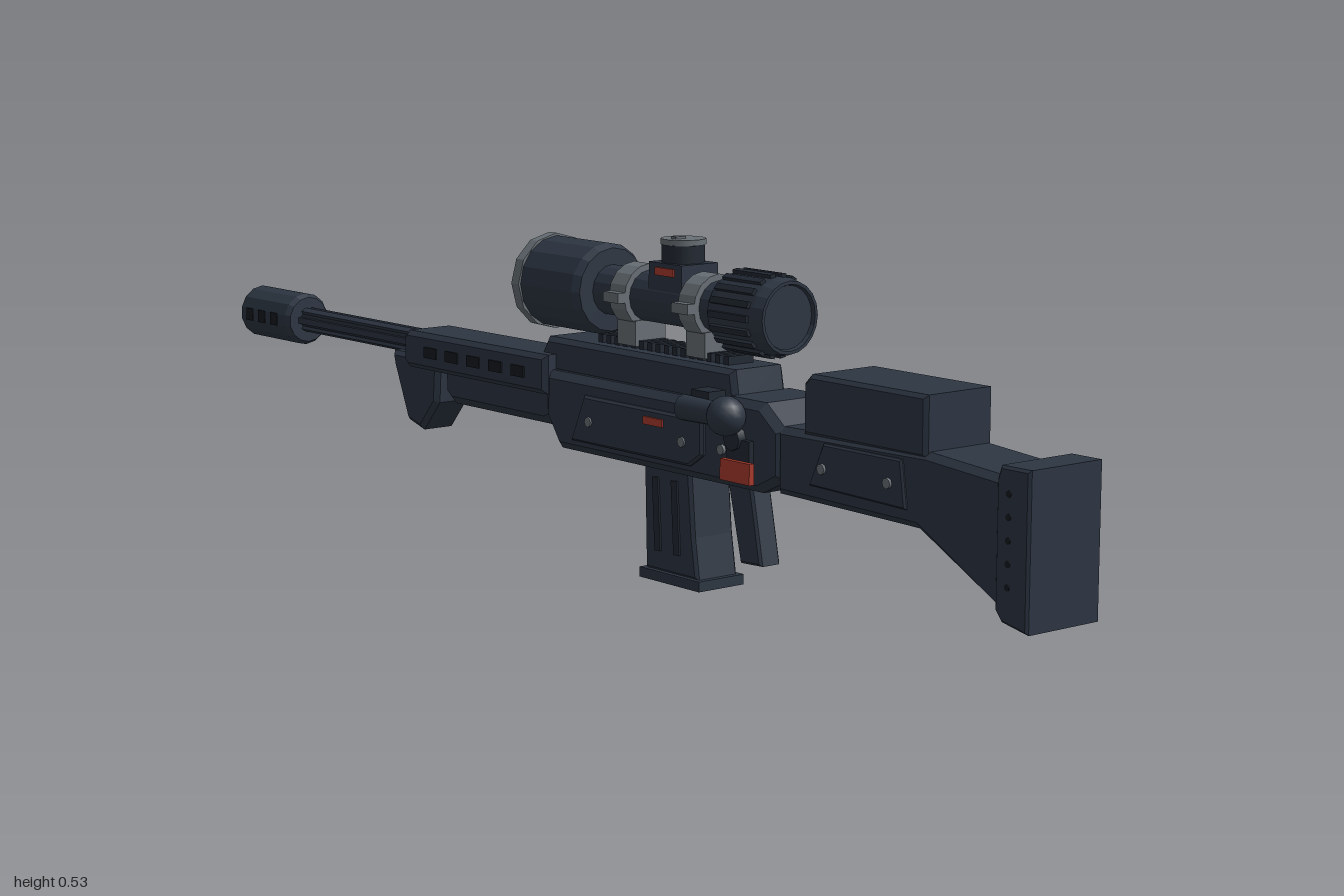
import * as THREE from 'three';

const mat = (name, color) => Object.assign(new THREE.MeshStandardMaterial({ color }), { name });

export function createModel() {
  const slate = mat('slate', 0x2d3643);
  const dark = mat('dark slate', 0x222933);
  const black = mat('black', 0x14181e);
  const grey = mat('grey metal', 0x687076);
  const red = mat('red', 0xa83a2c);

  const root = new THREE.Group();
  root.name = 'rifle';
  const gun = new THREE.Group();
  gun.name = 'gunBody';
  gun.position.x = 0.015;
  root.add(gun);

  const add = (name, geo, material, x = 0, y = 0, z = 0, parent = gun) => {
    const m = new THREE.Mesh(geo, material);
    m.name = name;
    m.position.set(x, y, z);
    parent.add(m);
    return m;
  };
  const box = (name, material, w, h, d, x, y, z, parent) =>
    add(name, new THREE.BoxGeometry(w, h, d), material, x, y, z, parent);
  // side outline given as [z, y] points, extruded between two x values with chamfered rims
  const slab = (name, material, pts, x0, x1, bevel = 0.008) => {
    const shape = new THREE.Shape(pts.map(p => new THREE.Vector2(p[0], p[1])));
    const geo = new THREE.ExtrudeGeometry(shape, {
      depth: x1 - x0 - 2 * bevel, bevelEnabled: bevel > 0, bevelThickness: bevel,
      bevelSize: bevel, bevelOffset: -bevel, bevelSegments: 1,
    });
    geo.rotateY(-Math.PI / 2).translate(x1 - bevel, 0, 0);
    return add(name, geo, material);
  };
  // faceted turned part along z, profile [radius, z] with rising z on the outside
  const turned = (name, material, pts, y, sides = 16) => {
    const geo = new THREE.LatheGeometry(pts.map(p => new THREE.Vector2(p[0], p[1])), sides)
      .rotateX(Math.PI / 2).toNonIndexed();
    // the turn maps the profile axis to +z
    geo.computeVertexNormals();
    return add(name, geo, material, 0, y, 0);
  };
  const stud = (name, material, r, s, x, y, z) =>
    add(name, new THREE.CylinderGeometry(r, r, 0.014, 8).rotateZ(Math.PI / 2), material, s * x, y, z);

  // stock, butt pad and cheek rest
  slab('stock', slate, [[0.95, 0.09], [0.95, 0.278], [0.8, 0.29], [0.49, 0.285], [0.49, 0.185], [0.78, 0.18]], -0.067, 0.067, 0.01);
  slab('buttPad', slate, [[1, 0.07], [1, 0.295], [0.945, 0.295], [0.938, 0.275], [0.938, 0.095], [0.95, 0.08]], -0.0715, 0.0715, 0.004);
  slab('cheekRest', slate, [[0.797, 0.28], [0.797, 0.37], [0.56, 0.37], [0.545, 0.355], [0.545, 0.28]], -0.066, 0.066, 0.006);

  // receiver with the sight rail on top
  slab('receiver', slate, [[0.505, 0.205], [0.505, 0.28], [0.46, 0.315], [0.38, 0.315], [0.37, 0.302], [-0.055, 0.302],
    [-0.06, 0.23], [-0.025, 0.18], [0.455, 0.18]], -0.07, 0.07, 0.012);
  slab('railBase', slate, [[0.385, 0.295], [0.375, 0.352], [-0.075, 0.352], [-0.092, 0.325], [-0.092, 0.295]], -0.052, 0.052, 0.008);
  for (let i = 0; i < 16; i++) box('railTooth', dark, 0.05, 0.014, 0.011, 0, 0.358, 0.33 - i * 0.02);

  // handguard with the longer slotted left shroud
  slab('handguard', slate, [[-0.05, 0.22], [-0.05, 0.298], [-0.34, 0.294], [-0.352, 0.28], [-0.35, 0.225], [-0.33, 0.21], [-0.07, 0.21]], -0.058, 0.058, 0.014);
  slab('upperShroud', slate, [[-0.05, 0.262], [-0.05, 0.326], [-0.43, 0.324], [-0.44, 0.315], [-0.44, 0.272], [-0.43, 0.262]], -0.075, 0.022, 0.008);
  for (let i = 0; i < 5; i++) box('shroudSlot', black, 0.004, 0.018, 0.034, -0.0755, 0.293, -0.12 - i * 0.06);

  // fore grip
  slab('foreGrip', slate, [[-0.395, 0.275], [-0.53, 0.275], [-0.525, 0.25], [-0.487, 0.16], [-0.445, 0.148], [-0.4, 0.2]], -0.036, 0.036, 0.008);

  // fluted barrel
  const barrelY = 0.291;
  add('barrel', new THREE.CylinderGeometry(0.017, 0.017, 0.8, 12).rotateX(Math.PI / 2), dark, 0, barrelY, -0.45);
  for (let i = 0; i < 6; i++) {
    const a = (i / 6) * Math.PI * 2;
    box('barrelRib', slate, 0.011, 0.011, 0.8, Math.cos(a) * 0.016, barrelY + Math.sin(a) * 0.016, -0.45).rotation.z = a;
  }

  // muzzle brake with bore and ports
  turned('muzzleBrake', slate, [[0.02, -0.93], [0.024, -1], [0.04, -1], [0.046, -0.992], [0.046, -0.85], [0.04, -0.84], [0, -0.84]], barrelY, 14);
  add('bore', new THREE.CircleGeometry(0.022, 14).rotateY(Math.PI), black, 0, barrelY, -0.95);
  for (const s of [-1, 1]) for (let i = 0; i < 3; i++)
    box('muzzlePort', black, 0.006, 0.022, 0.022, s * 0.0435, barrelY, -0.965 + i * 0.04);

  // trigger grip
  slab('rearGrip', slate, [[0.38, 0.19], [0.325, 0.19], [0.358, 0.053], [0.407, 0.055]], -0.02, 0.02, 0.004);

  // magazine with side ribs and base plate
  slab('magazine', slate, [[0.265, 0.19], [0.155, 0.19], [0.16, 0.015], [0.285, 0.015], [0.275, 0.08]], -0.041, 0.041, 0.005);
  box('magazineBase', slate, 0.09, 0.016, 0.142, 0, 0.008, 0.223);
  for (const s of [-1, 1]) for (const z of [0.19, 0.235])
    box('magazineRib', dark, 0.006, 0.115, 0.014, s * 0.041, 0.105, z).rotation.x = -0.06;

  // side panels, screws and red markings on both sides
  for (const s of [-1, 1]) {
    const span = (a, b) => (s > 0 ? [a, b] : [-b, -a]);
    slab('receiverPanel', slate, [[0.335, 0.275], [0.05, 0.275], [0.018, 0.2], [0.305, 0.2], [0.335, 0.22]], ...span(0.064, 0.077), 0.004);
    slab('stockPanel', slate, [[0.755, 0.275], [0.595, 0.275], [0.565, 0.21], [0.765, 0.205]], ...span(0.062, 0.072), 0.003);
    for (const z of [0.29, 0.065]) stud('panelScrew', grey, 0.008, s, 0.073, 0.235, z);
    for (const z of [0.73, 0.595]) stud('stockScrew', grey, 0.008, s, 0.069, 0.238, z);
    stud('leverPivot', dark, 0.018, s, 0.077, 0.257, 0.41);
    stud('receiverPin', grey, 0.008, s, 0.068, 0.235, 0.375);
    box('leverPlate', dark, 0.012, 0.05, 0.05, s * 0.073, 0.232, 0.42);
    box('redLever', red, 0.009, 0.032, 0.066, s * 0.0825, 0.21, 0.422);
    box('redMark', red, 0.004, 0.012, 0.046, s * 0.078, 0.257, 0.223);
    for (let i = 0; i < 5; i++) stud('buttScrew', black, 0.005, s, 0.0655, 0.13 + i * 0.032, 0.962);
  }

  // bolt handle on the right side
  box('boltArm', dark, 0.05, 0.035, 0.04, -0.06, 0.303, 0.34);
  add('boltShaft', new THREE.CylinderGeometry(0.018, 0.02, 0.1, 10).rotateX(Math.PI / 2), slate, -0.09, 0.292, 0.36);
  add('boltKnob', new THREE.SphereGeometry(0.03, 14, 10), slate, -0.092, 0.292, 0.408);

  // telescopic sight
  const sy = 0.433;
  turned('sightTube', slate, [[0.04, 0], [0.04, 0.34]], sy);
  turned('objectiveBell', slate, [[0.058, -0.11], [0.06, -0.122], [0.073, -0.122], [0.073, 0.015], [0.066, 0.028], [0.035, 0.028]], sy);
  turned('objectiveRing', grey, [[0.056, -0.11], [0.06, -0.134], [0.077, -0.134], [0.077, -0.115], [0.07, -0.115]], sy, 12);
  add('objectiveLens', new THREE.CircleGeometry(0.06, 20).rotateY(Math.PI), dark, 0, sy, -0.112);
  turned('eyepiece', slate, [[0.035, 0.32], [0.056, 0.322], [0.059, 0.335], [0.059, 0.425], [0.055, 0.444], [0.05, 0.444], [0.048, 0.438], [0, 0.438]], sy, 20);
  for (let i = 0; i < 18; i++) {
    const a = (i / 18) * Math.PI * 2;
    box('eyepieceRib', dark, 0.008, 0.01, 0.085, Math.cos(a) * 0.06, sy + Math.sin(a) * 0.06, 0.375).rotation.z = a;
  }

  // sight mounts
  for (const z of [0.265, 0.1]) {
    turned('mountRing', grey, [[0.038, z - 0.019], [0.05, z - 0.019], [0.05, z + 0.019], [0.038, z + 0.019]], sy);
    box('mountFoot', grey, 0.06, 0.04, 0.045, 0, 0.376, z);
    for (const s of [-1, 1]) box('mountClamp', grey, 0.016, 0.016, 0.038, s * 0.054, sy, z);
  }

  // adjustment turret
  box('turretBase', slate, 0.072, 0.05, 0.078, 0, 0.468, 0.2);
  add('turretDrum', new THREE.CylinderGeometry(0.033, 0.033, 0.03, 14), dark, 0, 0.505, 0.2);
  add('turretCap', new THREE.CylinderGeometry(0.035, 0.035, 0.009, 14), grey, 0, 0.525, 0.2);
  box('turretGrip', grey, 0.02, 0.004, 0.012, -0.01, 0.531, 0.2);
  for (const s of [-1, 1]) box('turretMark', red, 0.005, 0.012, 0.044, s * 0.0365, 0.48, 0.2);

  return root;
}
